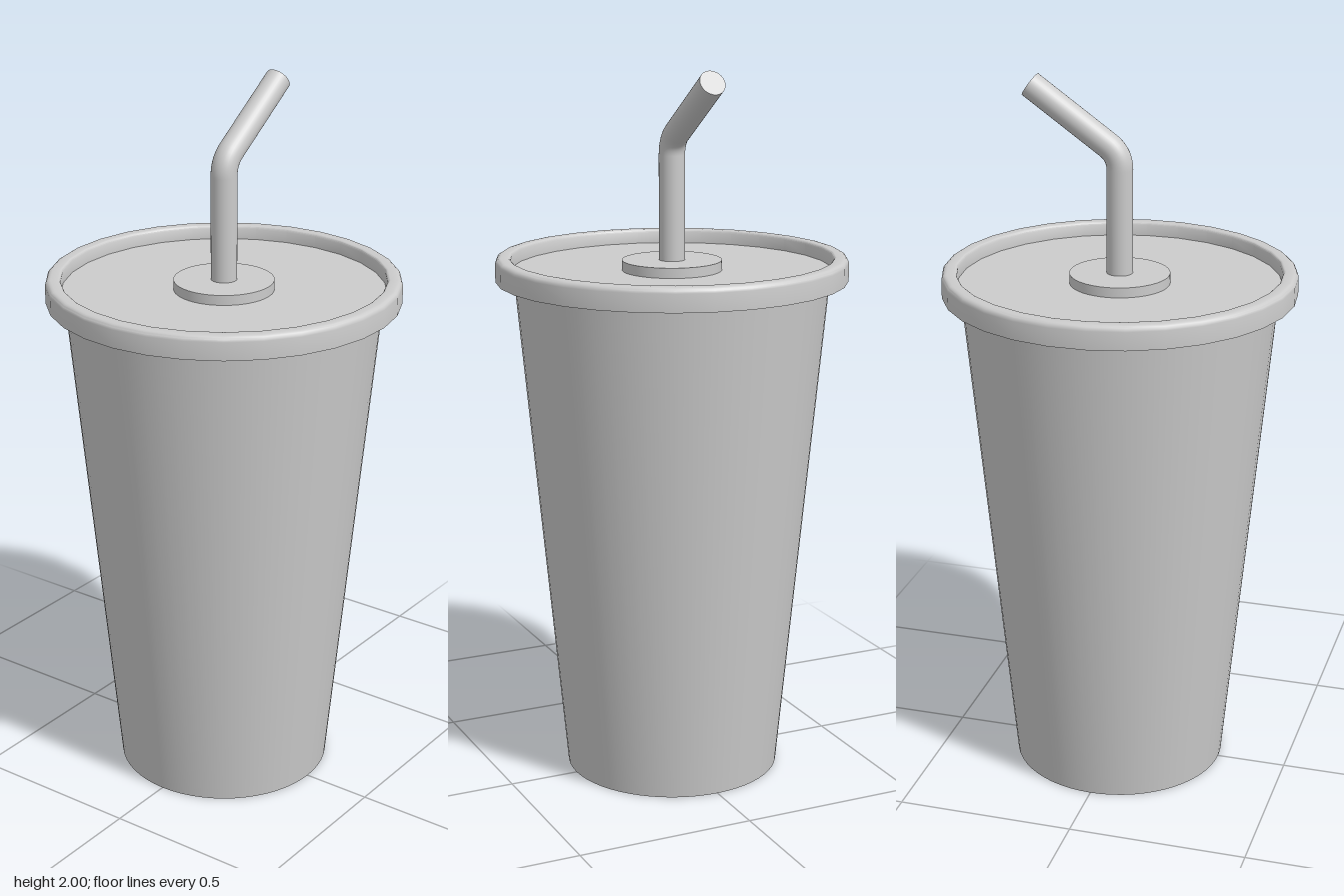
import * as THREE from 'three';
import { toCreasedNormals } from 'three/addons/utils/BufferGeometryUtils.js';

const grey = new THREE.MeshStandardMaterial({ color: 0xcccccc });

function part(name, geometry) {
  const mesh = new THREE.Mesh(geometry, grey);
  mesh.name = name;
  return mesh;
}

// Profile points run from the bottom axis, outwards, up and back to the axis
function turned(name, profile, segments) {
  const points = profile.map(([r, y]) => new THREE.Vector2(r, y));
  return part(name, toCreasedNormals(new THREE.LatheGeometry(points, segments, Math.PI / 2), 0.6));
}

export function createModel() {
  const group = new THREE.Group();
  group.name = 'drinkCup';

  // Tapered cup with a recessed base
  group.add(turned('cup', [
    [0, 0.04], [0.255, 0.04], [0.255, 0], [0.302, 0], [0.437, 1.43], [0, 1.43],
  ], 60));

  // Lid: raised, rounded rim around a sunken top
  const rim = [];
  const round = (cx, cy, r, from, to) => {
    for (let i = 0; i <= 4; i++) {
      const a = from + (to - from) * i / 4;
      rim.push([cx + r * Math.cos(a), cy + r * Math.sin(a)]);
    }
  };
  round(0.472, 1.465, 0.015, 0, Math.PI / 2);
  round(0.453, 1.472, 0.008, Math.PI / 2, Math.PI);
  group.add(turned('lid', [
    [0, 1.415], [0.487, 1.415], ...rim, [0.445, 1.44], [0, 1.44],
  ], 30));

  // Collar where the straw enters
  group.add(turned('strawCollar', [
    [0, 1.43], [0.138, 1.43], [0.138, 1.468], [0, 1.468],
  ], 60));

  // Bent straw
  const bend = new THREE.Vector3(0, 1.797, 0);
  const tip = new THREE.Vector3(0.25, 1.972, 0);
  const direction = tip.clone().sub(bend).normalize();
  const bendStart = new THREE.Vector3(0, 1.757, 0);
  const bendEnd = bend.clone().addScaledVector(direction, 0.04);
  const path = new THREE.CurvePath();
  path.add(new THREE.LineCurve3(new THREE.Vector3(0, 1.44, 0), bendStart));
  path.add(new THREE.QuadraticBezierCurve3(bendStart, bend, bendEnd));
  path.add(new THREE.LineCurve3(bendEnd, tip));
  group.add(part('straw', new THREE.TubeGeometry(path, 60, 0.036, 32)));

  // Flat end of the straw
  const end = part('strawEnd', new THREE.CircleGeometry(0.036, 32));
  end.position.copy(tip);
  end.quaternion.setFromUnitVectors(new THREE.Vector3(0, 0, 1), direction);
  group.add(end);

  return group;
}
